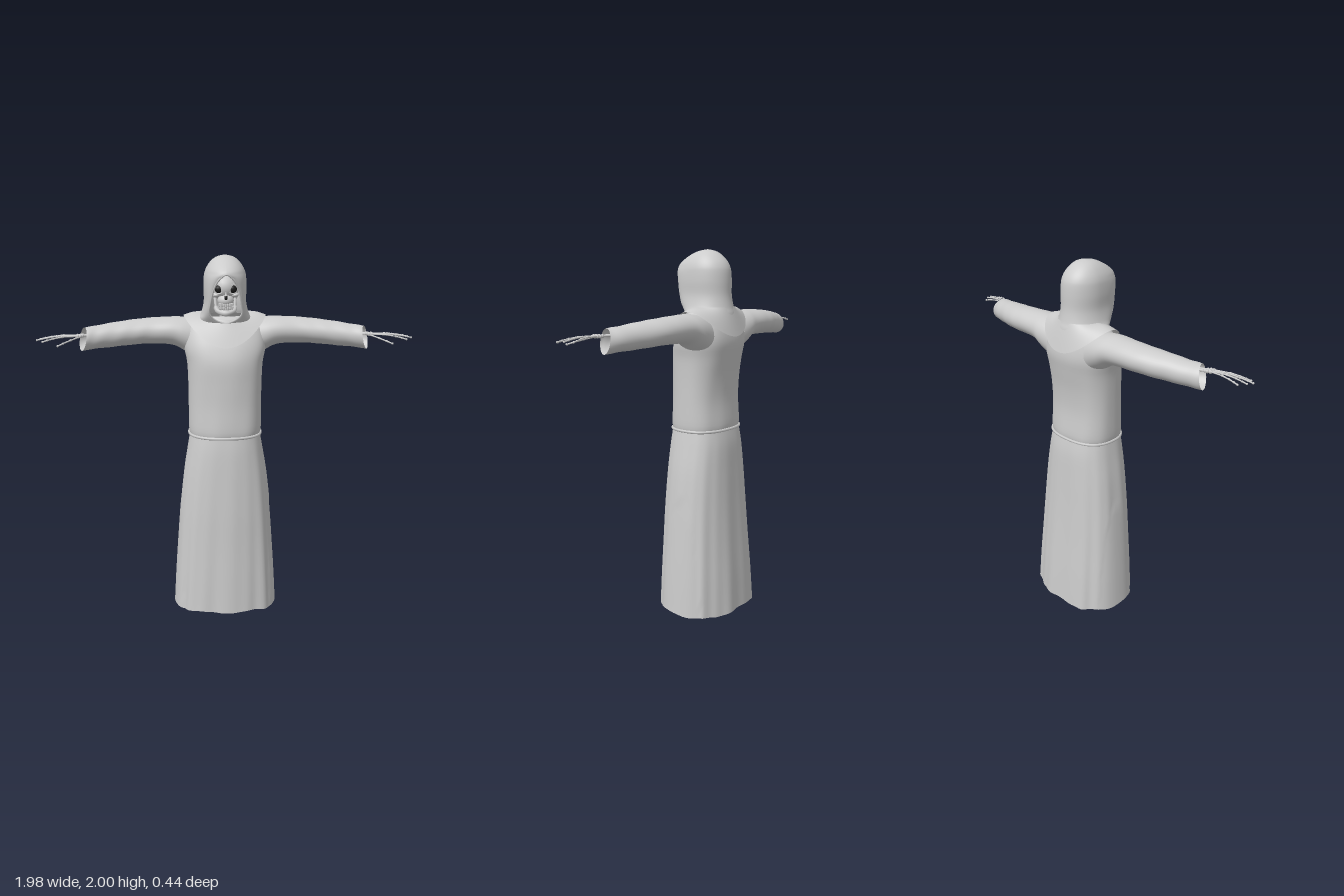
import * as THREE from 'three';

const cloth = new THREE.MeshStandardMaterial({ color: 0xcccccc, side: THREE.DoubleSide });
const bone = new THREE.MeshStandardMaterial({ color: 0xcccccc });
const hollow = new THREE.MeshStandardMaterial({ color: 0x1a1a1a });
const V = (x, y, z) => new THREE.Vector3(x, y, z);

function add(parent, name, geometry, material = bone) {
  const mesh = new THREE.Mesh(geometry, material);
  mesh.name = name;
  parent.add(mesh);
  return mesh;
}

// Smooth interpolation through rows of numbers, t from 0 to 1
function sample(rows, t) {
  const f = t * (rows.length - 1);
  const i = Math.min(Math.floor(f), rows.length - 2), u = f - i;
  const at = k => rows[Math.max(0, Math.min(rows.length - 1, k))];
  return rows[0].map((_, c) => {
    const [a, b, d, e] = [at(i - 1)[c], at(i)[c], at(i + 1)[c], at(i + 2)[c]];
    return b + 0.5 * u * (d - a + u * (2 * a - 5 * b + 4 * d - e + u * (3 * (b - d) + e - a)));
  });
}

// Skin a grid of points: point(i/m, j/n)
function loft(m, n, point, closed = true, flip = false) {
  const pos = [], index = [], cols = closed ? n : n + 1;
  for (let i = 0; i <= m; i++)
    for (let j = 0; j < cols; j++) pos.push(...point(i / m, j / n));
  for (let i = 0; i < m; i++)
    for (let j = 0; j < n; j++) {
      const a = i * cols + j, b = i * cols + (j + 1) % cols, c = a + cols, d = b + cols;
      if (flip) index.push(a, b, c, b, d, c);
      else index.push(a, c, b, b, c, d);
    }
  const g = new THREE.BufferGeometry();
  g.setAttribute('position', new THREE.Float32BufferAttribute(pos, 3));
  g.setIndex(index);
  g.computeVertexNormals();
  return g;
}

// Rounded-box cross-section of the robe at angle a; back is a negative z
function section(a, w, front, back, p = 2.4) {
  const c = Math.cos(a), s = Math.sin(a);
  return [w * Math.sign(c) * Math.abs(c) ** (2 / p), (s > 0 ? front : back) * Math.abs(s) ** (2 / p)];
}

function tube(points, r, closed = false, seg = 48) {
  return new THREE.TubeGeometry(new THREE.CatmullRomCurve3(points, closed), seg, r, 6, closed);
}

function addRobe(g) {
  // rows: y, half width, front z, back z
  const skirt = [[0, .295, .22, -.215], [.2, .284, .215, -.203], [.4, .27, .209, -.188], [.6, .254, .204, -.175],
    [.8, .233, .195, -.165], [.95, .209, .186, -.157], [1.04, .193, .175, -.143]];
  add(g, 'skirt', loft(36, 96, (t, u) => {
    const a = u * Math.PI * 2, [y, w, f, b] = sample(skirt, t);
    const k = 1 + (1 - t) * (0.02 * Math.sin(9 * a + 1) + 0.013 * Math.sin(17 * a + 2 * t));
    const [x, z] = section(a, w, f, b);
    const hem = (1 - t) ** 8 * Math.max(0, .013 + .012 * Math.sin(a) + .004 * Math.sin(7 * a));
    return [x * (Math.abs(x) > .25 ? 1 : k), Math.max(0, y) + hem, z * k];
  }), cloth);

  const torso = [[1.03, .193, .17, -.138], [1.07, .2, .176, -.142], [1.2, .2, .168, -.132], [1.32, .201, .166, -.14],
    [1.43, .206, .163, -.16], [1.51, .22, .142, -.174], [1.58, .213, .11, -.168], [1.64, .185, .075, -.15],
    [1.68, .12, .05, -.12]];
  add(g, 'torso', loft(32, 72, (t, u) => {
    const a = u * Math.PI * 2, [y, w, f, b] = sample(torso, t);
    const k = 1 + 0.012 * (1 - t) * Math.sin(8 * a + 5 * t);
    const [x, z] = section(a, w, f, b);
    return [x, y, z * k];
  }), cloth);

  const ropePoints = [];
  for (let i = 0; i < 40; i++) {
    const [x, z] = section(i / 40 * Math.PI * 2, .198, .176, -.144);
    ropePoints.push(V(x, 1.036, z));
  }
  add(g, 'belt', tube(ropePoints, .008, true, 100));
}

function addHood(g) {
  // Collar draped over chest, shoulders and back
  add(g, 'collar', loft(10, 64, (t, u) => {
    const a = u * Math.PI * 2, c = Math.cos(a), s = Math.sin(a);
    const neck = [.125 * c, 1.698 - (s > 0 ? .034 * s : 0), -.03 + (s > 0 ? .11 : .115) * s];
    const edge = [.222 * c, 1.68 - (s > 0 ? .155 : .135) * s * s, -.03 + (s > 0 ? .182 : .158) * s];
    return neck.map((v, i) => v + (edge[i] - v) * t + (i === 1 ? .006 * Math.sin(Math.PI * t) : 0));
  }, true, true), cloth);

  // rows: y, half width, rim z, rim half width, back z
  const rows = [[1.645, .15, .085, 0, -.16], [1.67, .142, .092, .06, -.155], [1.7, .126, .103, .085, -.146],
    [1.76, .113, .126, .08, -.136], [1.83, .115, .148, .064, -.135], [1.88, .113, .168, .038, -.132],
    [1.91, .108, .18, 0, -.125], [1.94, .095, .152, 0, -.108], [1.97, .072, .103, 0, -.078],
    [1.99, .042, .055, 0, -.045], [2, 0, 0, 0, 0]];
  add(g, 'hood', loft(50, 64, (t, u) => {
    const a = (u * 2 - 1.5) * Math.PI, side = u < 0.5 ? -1 : 1;
    const [y, w, rz, rimX, b] = sample(rows, t);
    const rx = Math.max(0, rimX);
    const c = Math.abs(Math.cos(a)), s = Math.sin(a);
    return s > 0 ? [side * (rx + (w - rx) * c), y, rz * s] : [side * w * c, y, -b * s];
  }, false), cloth);

  // Turned edge round the face opening
  const right = rows.slice(1, 6).map(r => V(-r[3], r[0], r[2]));
  const left = rows.slice(1, 6).reverse().map(r => V(r[3], r[0], r[2]));
  add(g, 'hoodRim', tube([V(0, 1.648, .086), ...right, V(0, 1.907, .178), ...left], .005, true, 80));
}

function addSleeve(g, s) {
  // rows: centre x, y, z, front offset x, z, half height
  const rows = [[.14, 1.55, -.045, 0, .1, .108], [.21, 1.574, -.045, 0, .105, .093], [.28, 1.594, -.042, 0, .1, .076],
    [.4, 1.595, -.042, -.005, .092, .07], [.5, 1.589, -.028, -.01, .086, .068], [.6, 1.58, -.003, -.016, .073, .066],
    [.7, 1.57, .025, -.022, .062, .062], [.757, 1.563, .047, -.023, .054, .063]];
  add(g, s > 0 ? 'leftSleeve' : 'rightSleeve', loft(35, 36, (t, u) => {
    const a = u * Math.PI * 2, [x, y, z, hx, hz, ry] = sample(rows, t);
    const k = 1 + .015 * Math.sin(t * 40 + a * 2) * t;
    const c = Math.cos(a), v = Math.sin(a);
    return [s * (x + hx * c - .012 * t * v), y + ry * v * k, z + hz * c * k];
  }, true, s < 0), cloth);
}

// Chain of slim bones with knobby joints
function addBones(g, name, points, r) {
  const chain = new THREE.Group();
  chain.name = name;
  for (let i = 0; i < points.length; i++) {
    add(chain, 'joint', new THREE.SphereGeometry(r * 1.35, 8, 6)).position.copy(points[i]);
    if (!i) continue;
    const d = points[i].clone().sub(points[i - 1]);
    const shaft = add(chain, 'shaft', new THREE.CylinderGeometry(r * .8, r, d.length(), 8));
    shaft.position.copy(points[i - 1]).addScaledVector(d, 0.5);
    shaft.quaternion.setFromUnitVectors(V(0, 1, 0), d.normalize());
  }
  g.add(chain);
}

function addHand(g, s) {
  const hand = new THREE.Group();
  hand.name = s > 0 ? 'leftHand' : 'rightHand';
  for (const d of [-.011, .011])
    addBones(hand, 'forearm', [V(s * .68, 1.588, .045 + d), V(s * .755, 1.588, .078 + d)], .007);
  for (const [x, z] of [[.765, .07], [.767, .085], [.765, .1], [.78, .075], [.782, .09], [.778, .103]]) {
    const wrist = add(hand, 'wristBone', new THREE.SphereGeometry(.01, 8, 6));
    wrist.position.set(s * x, 1.587, z);
  }
  // Finger tips: x, y, z
  const tips = [[.945, 1.572, .066], [.972, 1.575, .1], [.985, 1.573, .132], [.952, 1.568, .162]];
  tips.forEach(([x, y, z], i) => {
    const z0 = .074 + i * .011;
    const points = [0, .42, .68, .86, 1].map(t =>
      V(s * (.785 + (x - .785) * t), 1.588 + (y - 1.588) * t + .008 * Math.sin(Math.PI * t), z0 + (z - z0) * t));
    addBones(hand, 'finger', points, .0042);
  });
  addBones(hand, 'thumb', [V(s * .772, 1.583, .105), V(s * .81, 1.572, .138), V(s * .845, 1.56, .168),
    V(s * .872, 1.55, .188)], .0045);
  g.add(hand);
}

function addSkull(g) {
  const skull = new THREE.Group();
  skull.name = 'skull';
  const blob = (name, p, r, mat = bone) => {
    const m = add(skull, name, new THREE.SphereGeometry(1, 24, 16), mat);
    m.position.set(...p);
    m.scale.set(...r);
  };
  blob('cranium', [0, 1.835, .035], [.074, .075, .09]);
  blob('upperJaw', [0, 1.768, .085], [.043, .035, .044]);
  blob('chin', [0, 1.708, .108], [.032, .018, .026]);
  blob('noseHollow', [0, 1.786, .124], [.009, .014, .009], hollow);
  add(skull, 'noseBridge', new THREE.ConeGeometry(.008, .025, 8)).position.set(0, 1.808, .127);
  for (const s of [-1, 1]) {
    blob('eyeSocket', [s * .036, 1.828, .106], [.022, .02, .014], hollow);
    const brow = add(skull, 'brow', new THREE.TorusGeometry(.024, .005, 8, 24));
    brow.position.set(s * .036, 1.828, .107);
    brow.rotation.y = s * .35;
    blob('cheekbone', [s * .05, 1.797, .088], [.019, .013, .024]);
    addBones(skull, 'jawBranch', [V(s * .054, 1.785, .04), V(s * .05, 1.725, .058)], .009);
  }
  // Lower jaw bends round the chin
  const jaw = [[-.05, 1.728, .055], [-.04, 1.713, .1], [0, 1.703, .127], [.04, 1.713, .1], [.05, 1.728, .055]];
  add(skull, 'lowerJaw', tube(jaw.map(p => V(...p)), .013));
  // Two curved rows of teeth
  for (const y of [1.745, 1.73])
    for (let i = -4; i <= 4; i++) {
      const a = i * .26;
      const tooth = add(skull, 'tooth', new THREE.CapsuleGeometry(.0052, .009, 3, 8));
      tooth.position.set(.039 * Math.sin(a), y + .004 * Math.abs(Math.sin(a)), .09 + .039 * Math.cos(a));
    }
  add(skull, 'neck', new THREE.CylinderGeometry(.025, .028, .16, 12)).position.set(0, 1.71, -.01);
  g.add(skull);
}

export function createModel() {
  const g = new THREE.Group();
  g.name = 'hoodedSkeleton';
  addRobe(g);
  addHood(g);
  addSkull(g);
  for (const s of [-1, 1]) {
    addSleeve(g, s);
    addHand(g, s);
  }
  return g;
}
